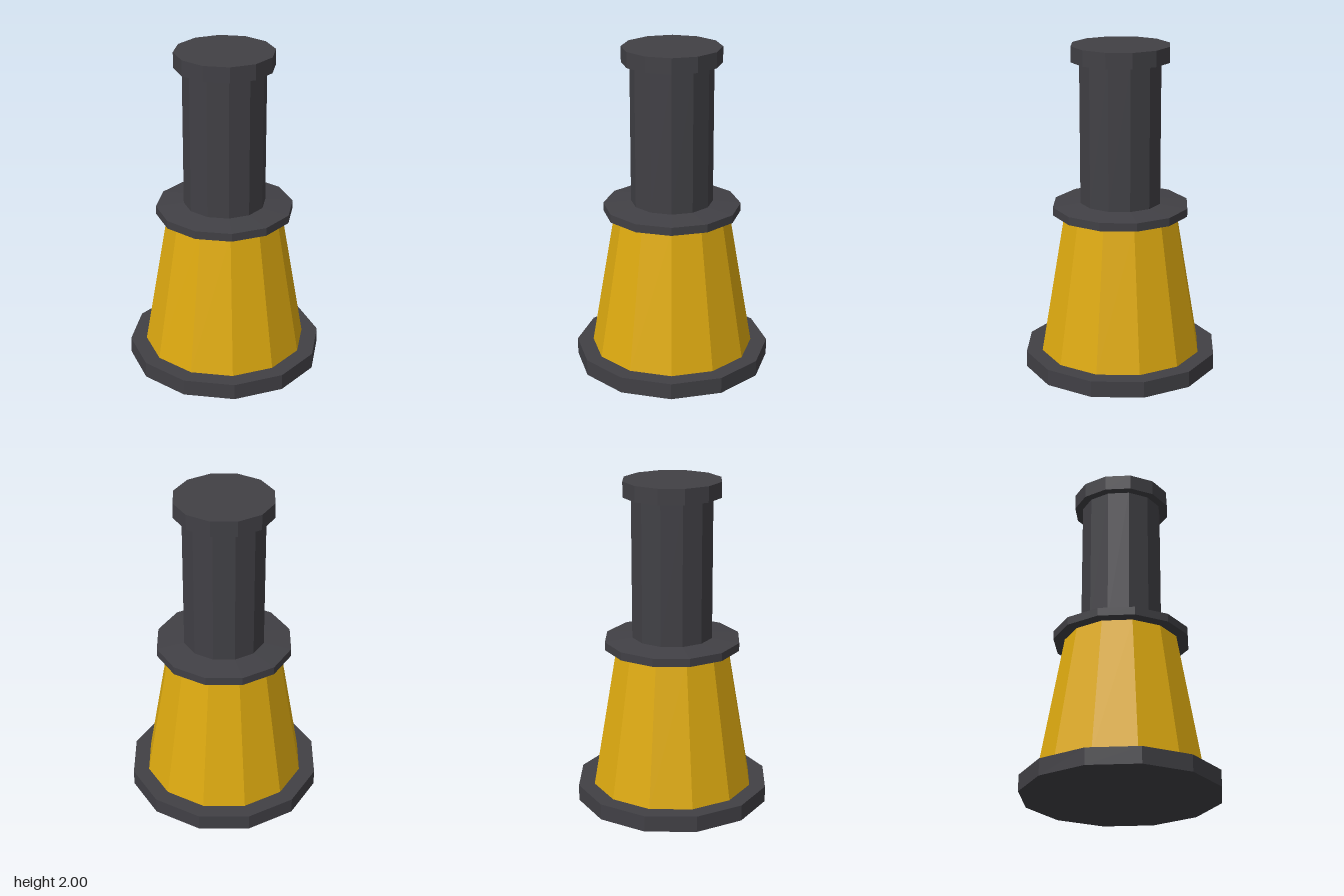
import * as THREE from 'three';

const SIDES = 12;

export function createModel() {
  const model = new THREE.Group();
  model.name = 'bollard';

  const charcoal = new THREE.MeshStandardMaterial({ color: 0x414045, flatShading: true });
  charcoal.name = 'charcoal';
  const yellow = new THREE.MeshStandardMaterial({ color: 0xdeaa10, flatShading: true });
  yellow.name = 'golden yellow';

  // One twelve-sided section between two heights
  function section(name, material, bottomRadius, topRadius, y0, y1) {
    const geometry = new THREE.CylinderGeometry(topRadius, bottomRadius, y1 - y0, SIDES);
    const mesh = new THREE.Mesh(geometry, material);
    mesh.name = name;
    mesh.position.y = (y0 + y1) / 2;
    model.add(mesh);
  }

  section('base', charcoal, 0.6, 0.6, 0, 0.1);
  section('taperedBody', yellow, 0.5, 0.35, 0.1, 0.975);
  // Collar rim with a shallow sloping shoulder
  section('collar', charcoal, 0.42, 0.42, 0.975, 1.025);
  section('collarShoulder', charcoal, 0.42, 0.25, 1.025, 1.042);
  section('post', charcoal, 0.25, 0.25, 1.042, 1.905);
  section('cap', charcoal, 0.3, 0.3, 1.905, 2);

  return model;
}
